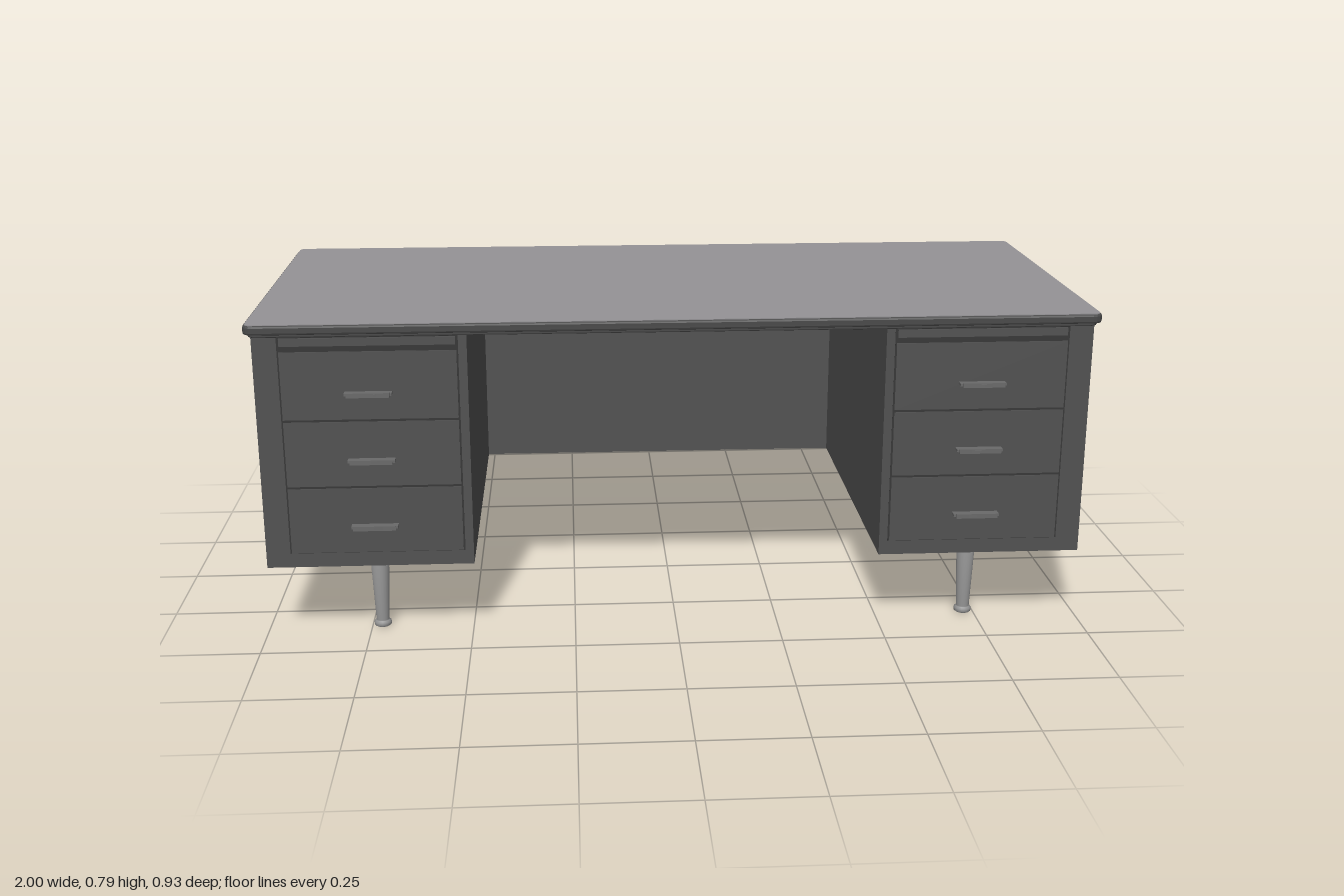
import * as THREE from 'three';

const mat = (name, color) => {
  const m = new THREE.MeshStandardMaterial({ color });
  m.name = name;
  return m;
};

export function createModel() {
  const desk = new THREE.Group();
  desk.name = 'desk';
  const body = mat('charcoal paint', 0x525252);
  const gap = mat('dark gap', 0x383838);
  const trim = mat('dark edge trim', 0x4a4a4a);
  const laminate = mat('grey laminate', 0x959396);
  const metal = mat('brushed metal', 0x959595);
  const pull = mat('handle metal', 0x6a6a6a);

  const add = (name, geo, material, x = 0, y = 0, z = 0, parent = desk) => {
    const mesh = new THREE.Mesh(geo, material);
    mesh.name = name;
    mesh.position.set(x, y, z);
    parent.add(mesh);
    return mesh;
  };
  // Box given by its minimum and maximum on each axis
  const box = (name, material, x0, x1, y0, y1, z0, z1, parent) =>
    add(name, new THREE.BoxGeometry(x1 - x0, y1 - y0, z1 - z0), material,
      (x0 + x1) / 2, (y0 + y1) / 2, (z0 + z1) / 2, parent);

  // Rounded slab lying flat, its bottom at y
  const slab = (name, material, hx, z0, z1, r, y, h, bevel) => {
    const s = new THREE.Shape();
    const a = hx - bevel, b = -z1 + bevel, t = -z0 - bevel;
    s.moveTo(-a + r, b);
    s.lineTo(a - r, b);
    s.quadraticCurveTo(a, b, a, b + r);
    s.lineTo(a, t - r);
    s.quadraticCurveTo(a, t, a - r, t);
    s.lineTo(-a + r, t);
    s.quadraticCurveTo(-a, t, -a, t - r);
    s.lineTo(-a, b + r);
    s.quadraticCurveTo(-a, b, -a + r, b);
    const geo = new THREE.ExtrudeGeometry(s, {
      depth: h - 2 * bevel, bevelEnabled: bevel > 0, bevelSize: bevel,
      bevelThickness: bevel, bevelSegments: 2, curveSegments: 5,
    });
    geo.rotateX(-Math.PI / 2);
    return add(name, geo, material, 0, y + bevel, 0);
  };

  // Table top: undercut edge with a laminate sheet on it
  slab('topLowerEdge', trim, 0.99, -0.462, 0.437, 0.02, 0.756, 0.014, 0.003);
  slab('topEdge', trim, 1, -0.47, 0.444, 0.02, 0.763, 0.022, 0.005);
  slab('topSurface', laminate, 0.995, -0.465, 0.439, 0.018, 0.784, 0.003, 0);

  // Full-width back panel
  box('backPanel', body, -0.982, 0.982, 0.19, 0.758, -0.44, -0.42);

  // Handle: thin stem with a slightly curved, thicker lip
  const handleShape = new THREE.Shape();
  handleShape.moveTo(-0.055, 0);
  handleShape.lineTo(0.055, 0);
  handleShape.lineTo(0.055, -0.022);
  handleShape.quadraticCurveTo(0, -0.036, -0.055, -0.022);
  handleShape.closePath();
  const handleGeo = new THREE.ExtrudeGeometry(handleShape, { depth: 0.006, bevelEnabled: false, curveSegments: 8 });
  handleGeo.rotateX(-Math.PI / 2);

  // Tapered leg with a rounded foot
  const legGeo = new THREE.LatheGeometry([
    [0, 0], [0.017, 0], [0.021, 0.003], [0.021, 0.011], [0.017, 0.015],
    [0.016, 0.017], [0.023, 0.185], [0, 0.185],
  ].map(([x, y]) => new THREE.Vector2(x, y)), 20);

  for (const side of [-1, 1]) {
    const pedestal = new THREE.Group();
    pedestal.name = side > 0 ? 'leftPedestal' : 'rightPedestal';
    desk.add(pedestal);
    const cx = side * 0.7175;
    const hw = 0.2075;
    box('cabinet', body, side > 0 ? 0.49 : -0.982, side > 0 ? 0.982 : -0.49, 0.19, 0.758, -0.421, 0.429, pedestal);
    box('drawerGaps', gap, cx - hw, cx + hw, 0.225, 0.755, 0.428, 0.4296, pedestal);

    // Pull-out writing board
    box('pullOutBoard', body, cx - hw + 0.006, cx + hw - 0.006, 0.734, 0.753, 0.426, 0.434, pedestal);

    // Three drawers with handles
    [[0.557, 0.72, 0.622], [0.393, 0.551, 0.459], [0.227, 0.387, 0.295]].forEach(([y0, y1, hy], i) => {
      const n = i + 1;
      box('drawerFront' + n, body, cx - hw + 0.004, cx + hw - 0.004, y0, y1, 0.426, 0.4325, pedestal);
      add('handle' + n, handleGeo, pull, side * 0.72, hy - 0.003, 0.431, pedestal);
      box('handleLip' + n, pull, side * 0.72 - 0.05, side * 0.72 + 0.05, hy - 0.006, hy + 0.005, 0.452, 0.459, pedestal);
    });

    // Legs with square mounting plates
    for (const z of [0.345, -0.345]) {
      const leg = new THREE.Group();
      leg.name = z > 0 ? 'frontLeg' : 'backLeg';
      leg.position.set(side * 0.725, 0, z);
      pedestal.add(leg);
      add('legPost', legGeo, metal, 0, 0, 0, leg);
      box('legPlate', pull, -0.045, 0.045, 0.184, 0.191, -0.045, 0.045, leg);
    }
  }
  return desk;
}
